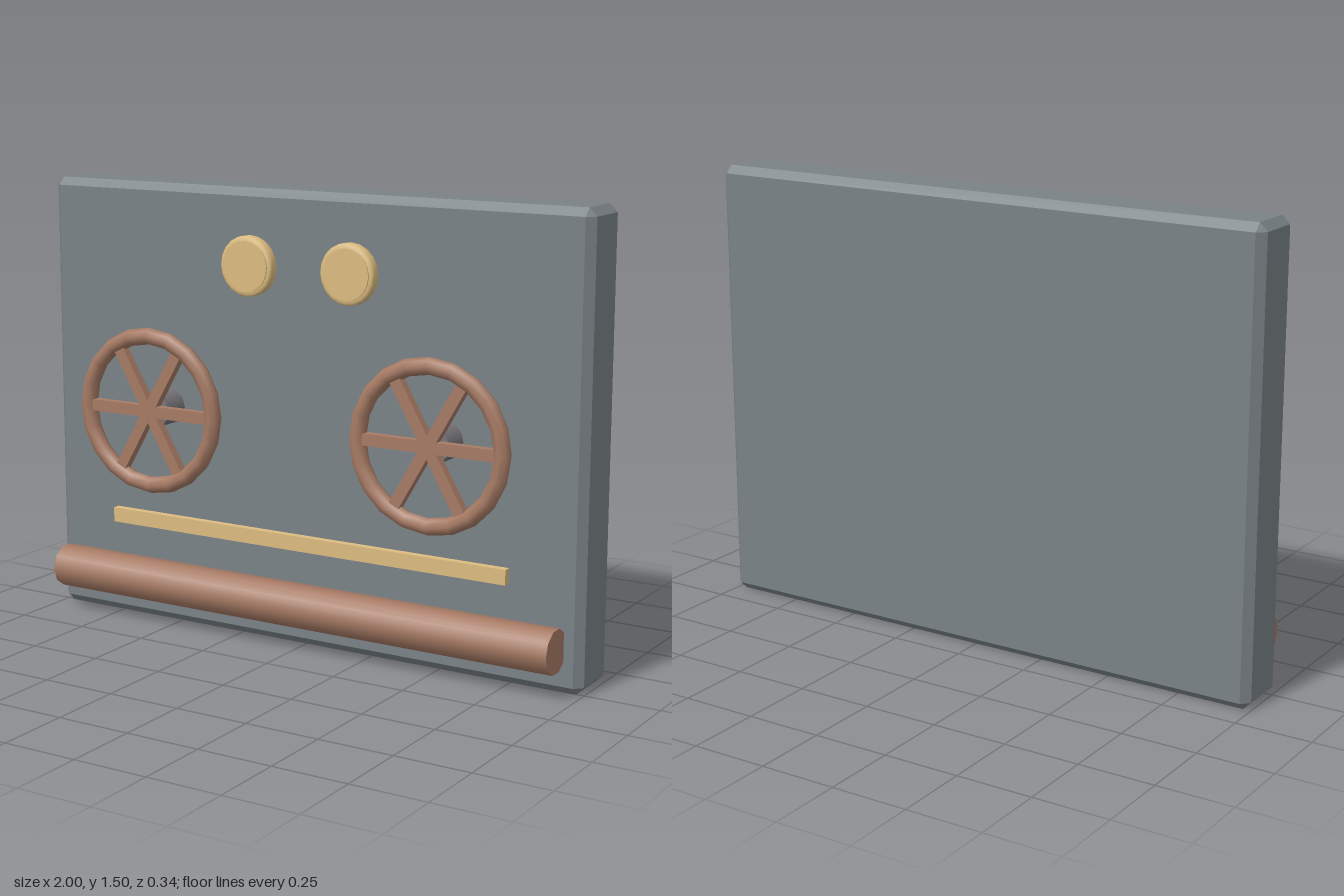
import * as THREE from 'three';
import { ConvexGeometry } from 'three/addons/geometries/ConvexGeometry.js';

const material = (color, flatShading = false) => {
  const m = new THREE.MeshStandardMaterial({ flatShading });
  m.color.set(color);
  return m;
};
const slate = material(0x7a8286, true);
const copper = material(0xa67a64);
const copperFlat = material(0xa67a64, true);
const brass = material(0xdcbc80);
const brassFlat = material(0xdcbc80, true);
const iron = material(0x777578);

function add(parent, name, geometry, mat, x = 0, y = 0, z = 0) {
  const mesh = new THREE.Mesh(geometry, mat);
  mesh.name = name;
  mesh.position.set(x, y, z);
  parent.add(mesh);
  return mesh;
}

// Box with every edge and corner cut at 45 degrees
function chamferedBox(w, h, d, c) {
  const points = [];
  for (const sx of [-1, 1]) for (const sy of [-1, 1]) for (const sz of [-1, 1]) {
    const x = w / 2, y = h / 2, z = d / 2;
    points.push(
      new THREE.Vector3(sx * x, sy * (y - c), sz * (z - c)),
      new THREE.Vector3(sx * (x - c), sy * y, sz * (z - c)),
      new THREE.Vector3(sx * (x - c), sy * (y - c), sz * z));
  }
  return new ConvexGeometry(points);
}

// Spoked wheel on a short shaft
function makeHandwheel(side) {
  const wheel = new THREE.Group();
  wheel.name = side > 0 ? 'leftHandwheel' : 'rightHandwheel';
  wheel.position.set(side * 0.525, 0.755, 0.143);
  add(wheel, 'rim', new THREE.TorusGeometry(0.252, 0.028, 8, 20), copper);
  for (let i = 0; i < 3; i++) {
    add(wheel, 'spoke', new THREE.BoxGeometry(0.47, 0.038, 0.03), copperFlat)
      .rotation.z = i * Math.PI / 3;
  }
  add(wheel, 'shaft', new THREE.CylinderGeometry(0.06, 0.06, 0.11, 12), iron, 0, 0, -0.073)
    .rotation.x = Math.PI / 2;
  return wheel;
}

// Round gauge: a face disc set in a slightly wider rim
function makeGauge(side) {
  const gauge = new THREE.Group();
  gauge.name = side > 0 ? 'leftGauge' : 'rightGauge';
  gauge.position.set(side * 0.188, 1.253, 0);
  add(gauge, 'gaugeFace', new THREE.CylinderGeometry(0.083, 0.083, 0.055, 20), brass, 0, 0, 0.0525)
    .rotation.x = Math.PI / 2;
  const profile = [[0.075, 0.036], [0.092, 0.036], [0.099, 0.043], [0.099, 0.068], [0.092, 0.076], [0.075, 0.076]];
  add(gauge, 'gaugeRim', new THREE.LatheGeometry(profile.map(([r, z]) => new THREE.Vector2(r, z)), 20), brass)
    .rotation.x = Math.PI / 2;
  return gauge;
}

export function createModel() {
  const model = new THREE.Group();
  model.name = 'controlPanel';

  add(model, 'backPanel', chamferedBox(2, 1.5, 0.2, 0.026), slate, 0, 0.75, -0.071);

  for (const side of [-1, 1]) model.add(makeHandwheel(side), makeGauge(side));

  // Trim strip and the long pipe along the bottom
  add(model, 'trimStrip', new THREE.BoxGeometry(1.5, 0.05, 0.035), brassFlat, 0, 0.352, 0.0375);
  add(model, 'pipe', new THREE.CylinderGeometry(0.073, 0.073, 1.88, 10), copper, 0, 0.153, 0.082)
    .rotation.z = Math.PI / 2;

  return model;
}
